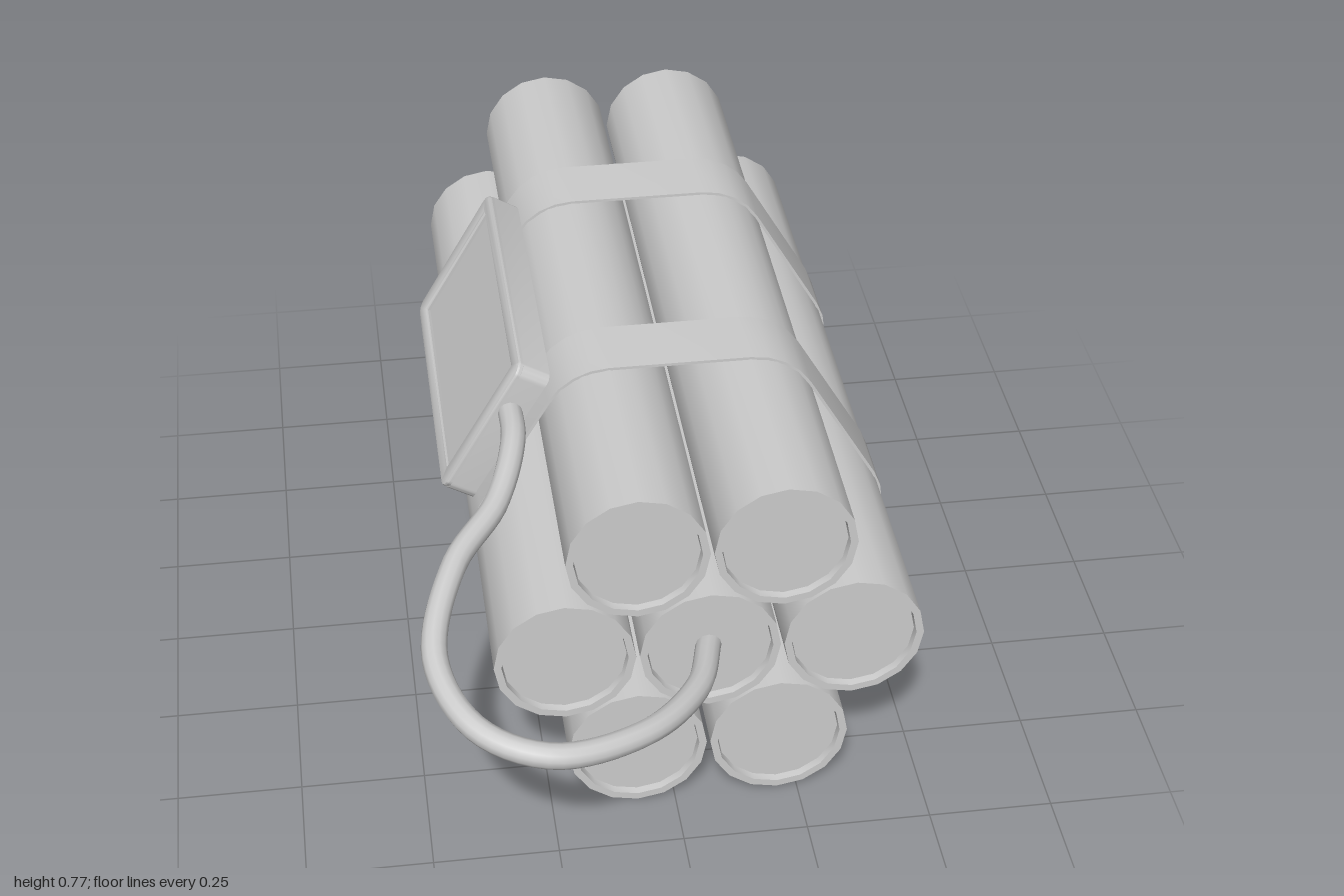
import * as THREE from 'three';
import { toCreasedNormals } from 'three/addons/utils/BufferGeometryUtils.js';

const CX = 0.066, CY = 0.386, SPACING = 0.285, R = 0.139;
const BACK = -1, FRONT = 0.63;

export function createModel() {
  const model = new THREE.Group();
  const material = new THREE.MeshStandardMaterial({ color: 0xcccccc });
  const add = (name, geometry, parent = model) => {
    const mesh = new THREE.Mesh(geometry, material);
    mesh.name = name;
    parent.add(mesh);
    return mesh;
  };

  // Seven tubes with a raised rim around each recessed end
  const h = (FRONT - BACK) / 2, lip = 0.122, recess = 0.015;
  const profile = [
    [0, -h + recess], [lip, -h + recess], [lip + 0.002, -h], [R, -h],
    [R, h], [lip + 0.002, h], [lip, h - recess], [0, h - recess],
  ].map(([x, y]) => new THREE.Vector2(x, y));
  const tube = toCreasedNormals(new THREE.LatheGeometry(profile, 16).rotateX(Math.PI / 2), 0.6);
  const corners = [0, 1, 2, 3, 4, 5].map((k) => {
    const a = (k * Math.PI) / 3;
    return new THREE.Vector2(CX + SPACING * Math.cos(a), CY + SPACING * 0.977 * Math.sin(a));
  });
  [new THREE.Vector2(CX, CY), ...corners].forEach((c, i) => {
    add(i ? 'outerTube' + i : 'centreTube', tube).position.set(c.x, c.y, (FRONT + BACK) / 2);
  });

  // Two thin straps wrapped around the bundle
  const wrap = (r) => corners.flatMap((c, k) => [0, 1, 2, 3, 4].map((j) => {
    const a = (k * Math.PI) / 3 + ((j - 2) * Math.PI) / 12;
    return new THREE.Vector2(c.x + r * Math.cos(a), c.y + r * Math.sin(a));
  }));
  const band = new THREE.Shape(wrap(R + 0.005));
  band.holes.push(new THREE.Path(wrap(R - 0.001)));
  const strap = toCreasedNormals(
    new THREE.ExtrudeGeometry(band, { depth: 0.145, bevelEnabled: false }), 0.6);
  add('frontStrap', strap).position.z = 0.055;
  add('backStrap', strap).position.z = -0.58;

  // Case lying on the upper right face: local x up the slope, local z outward
  const box = new THREE.Group();
  box.name = 'controlBox';
  const slope = new THREE.Vector3(0.5, 0.866, 0), out = new THREE.Vector3(-0.866, 0.5, 0);
  box.quaternion.setFromRotationMatrix(
    new THREE.Matrix4().makeBasis(slope, new THREE.Vector3(0, 0, -1), out));
  box.position.set(-0.272, 0.573, -0.19);
  model.add(box);

  const roundRect = (w, l, r, Kind = THREE.Shape) => {
    const s = new Kind(), x = w / 2 - r, y = l / 2 - r;
    s.absarc(x, y, r, 0, Math.PI / 2);
    s.absarc(-x, y, r, Math.PI / 2, Math.PI);
    s.absarc(-x, -y, r, Math.PI, Math.PI * 1.5);
    s.absarc(x, -y, r, Math.PI * 1.5, Math.PI * 2);
    s.closePath();
    return s;
  };
  add('boxBody', toCreasedNormals(new THREE.ExtrudeGeometry(roundRect(0.336, 0.68, 0.025),
    { depth: 0.06, bevelEnabled: false, curveSegments: 4 }), 0.6), box);
  const frame = roundRect(0.324, 0.668, 0.022);
  frame.holes.push(roundRect(0.288, 0.6, 0.004, THREE.Path));
  add('boxFrame', toCreasedNormals(new THREE.ExtrudeGeometry(frame, {
    depth: 0.006, bevelThickness: 0.006, bevelSize: 0.006, bevelSegments: 2, curveSegments: 4,
  }), 0.6), box).position.z = 0.06;

  // Wire looping from the case to the centre tube
  const path = new THREE.CatmullRomCurve3([
    [-0.272, 0.645, 0.12], [-0.275, 0.643, 0.24], [-0.325, 0.612, 0.4], [-0.42, 0.588, 0.55],
    [-0.474, 0.53, 0.75], [-0.41, 0.49, 0.91], [-0.28, 0.468, 0.974], [-0.1, 0.44, 0.905],
    [0.02, 0.41, 0.76], [0.068, 0.386, 0.6],
  ].map((p) => new THREE.Vector3(...p)));
  add('wire', new THREE.TubeGeometry(path, 64, 0.025, 12, false));

  return model;
}
